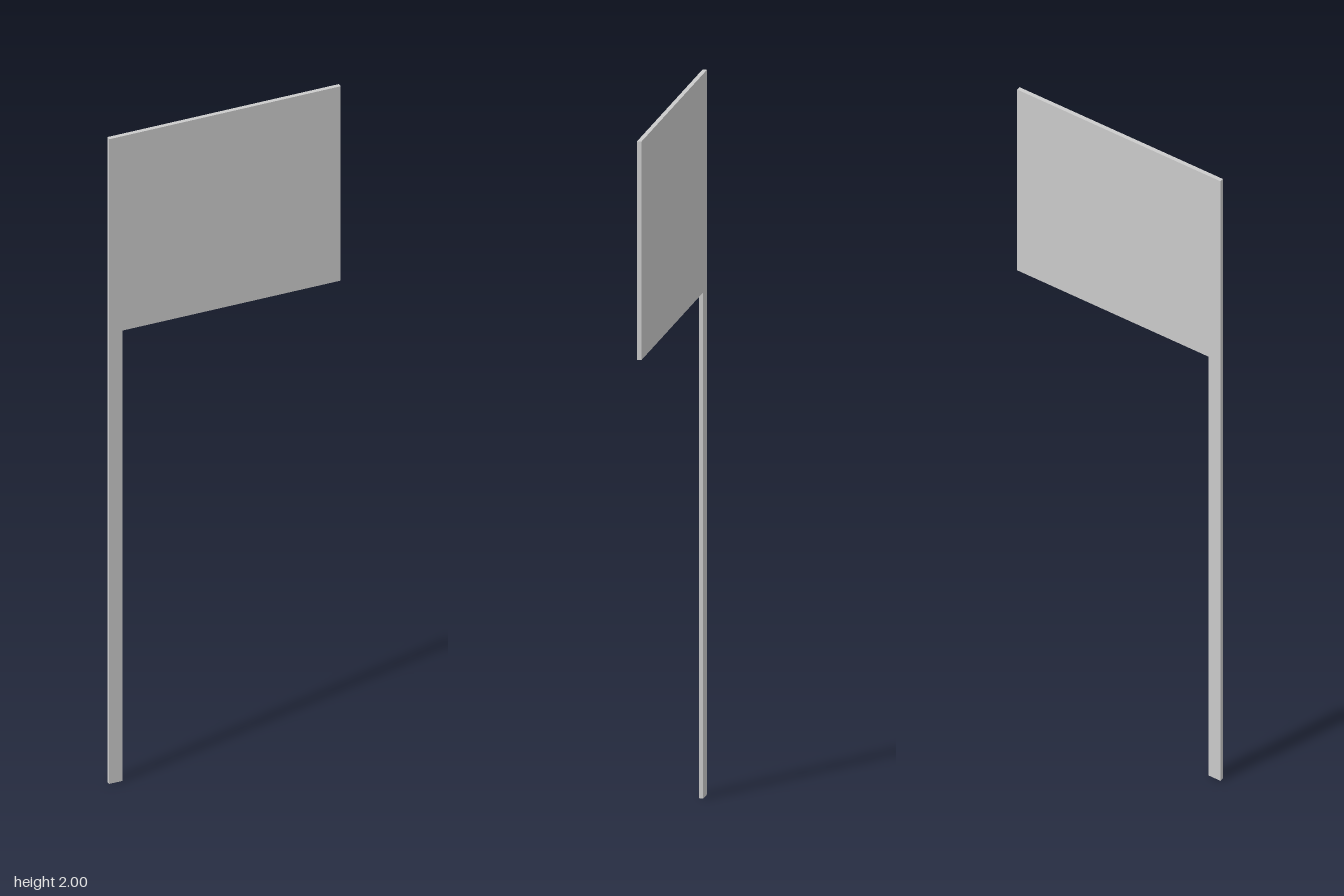
import * as THREE from 'three';

const HALF_WIDTH = 0.333;
const HEIGHT = 2;
const POLE_WIDTH = 0.038;
const FLAG_BOTTOM = 1.397;
const THICKNESS = 0.012;

export function createModel() {
  const group = new THREE.Group();
  group.name = 'flag';
  const material = new THREE.MeshStandardMaterial({ color: 0xcccccc, flatShading: true });

  // Pole and banner cut as one flat plate
  const outline = new THREE.Shape();
  outline.moveTo(-HALF_WIDTH, 0);
  outline.lineTo(-HALF_WIDTH + POLE_WIDTH, 0);
  outline.lineTo(-HALF_WIDTH + POLE_WIDTH, FLAG_BOTTOM);
  outline.lineTo(HALF_WIDTH, FLAG_BOTTOM);
  outline.lineTo(HALF_WIDTH, HEIGHT);
  outline.lineTo(-HALF_WIDTH, HEIGHT);
  outline.closePath();

  const geometry = new THREE.ExtrudeGeometry(outline, { depth: THICKNESS, bevelEnabled: false });
  geometry.translate(0, 0, -THICKNESS / 2);

  const plate = new THREE.Mesh(geometry, material);
  plate.name = 'poleAndBanner';
  group.add(plate);
  return group;
}
